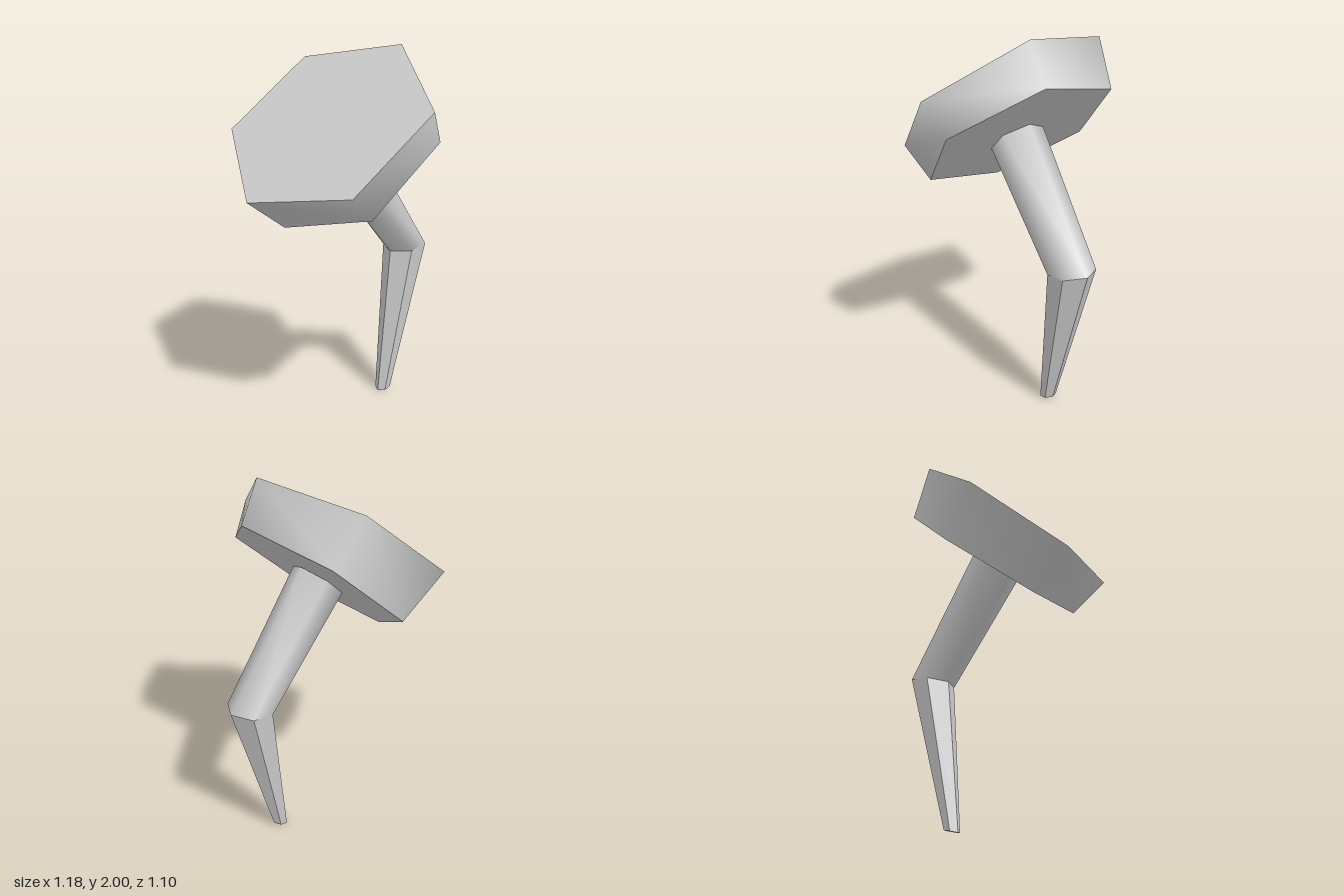
import * as THREE from 'three';

// Six-sided ring around a centre, spanned by two half-axes
function ring(centre, u, v) {
  return Array.from({ length: 6 }, (_, i) => {
    const a = (i * Math.PI) / 3;
    return centre.map((c, k) => c + u[k] * Math.cos(a) + v[k] * Math.sin(a));
  });
}

// Skin between an upper and a lower ring, with optional flat end faces
function loft(top, bottom, { smooth = true, capTop = false, capBottom = false }) {
  const points = [...top, ...bottom, ...top, ...bottom];
  const index = [];
  for (let i = 0; i < 6; i++) {
    const j = (i + 1) % 6;
    index.push(i, 6 + i, 6 + j, i, 6 + j, j);
  }
  for (let i = 1; i < 5; i++) {
    if (capTop) index.push(12, 12 + i, 13 + i);
    if (capBottom) index.push(18, 19 + i, 18 + i);
  }
  let geometry = new THREE.BufferGeometry();
  geometry.setAttribute('position', new THREE.Float32BufferAttribute(points.flat(), 3));
  geometry.setIndex(index);
  if (!smooth) geometry = geometry.toNonIndexed();
  geometry.computeVertexNormals();
  return geometry;
}

export function createModel() {
  const group = new THREE.Group();
  const grey = new THREE.MeshStandardMaterial({ color: 0xcccccc });
  grey.name = 'light grey';

  const add = (name, geometry) => {
    const mesh = new THREE.Mesh(geometry, grey);
    mesh.name = name;
    group.add(mesh);
  };

  // Rings from the tilted head down to the tip
  const headTop = ring([-0.163, 1.638, 0], [0.432, 0.362, 0.12], [0.06, 0.117, -0.566]);
  const headBottom = ring([0.01, 1.45, 0], [0.37, 0.345, 0.11], [0.081, 0.078, -0.508]);
  const shaftTop = ring([-0.007, 1.435, 0], [0.108, 0.098, 0], [0, 0, -0.144]);
  const knee = ring([0.4675, 0.86, 0], [0.1225, 0.02, 0], [0, 0, -0.1225]);
  const tip = ring([0.2925, 0.01, 0], [0.043, 0.01, 0], [0, 0, -0.043]);

  add('head', loft(headTop, headBottom, { capTop: true, capBottom: true }));
  add('shaft', loft(shaftTop, knee, {}));
  add('lowerStem', loft(knee, tip, { smooth: false, capBottom: true }));

  return group;
}
